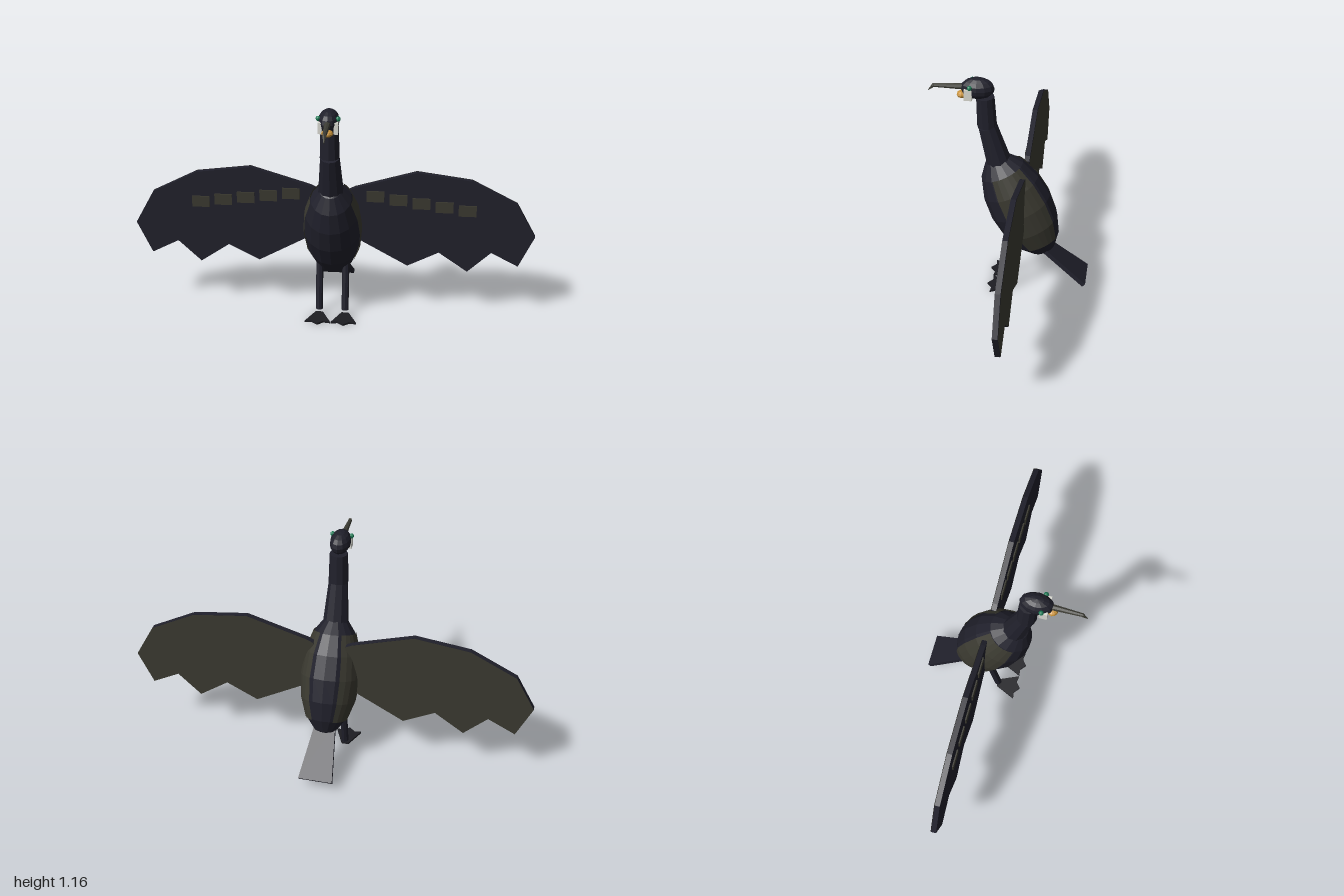
import * as THREE from 'three';

const mat = (name, color, side = THREE.FrontSide) => {
  const m = new THREE.MeshStandardMaterial({ color, flatShading: true, side });
  m.name = name;
  return m;
};

export function createModel() {
  const bird = new THREE.Group();
  bird.name = 'bird';
  const plumage = mat('dark plumage', 0x20202b);
  const olive = mat('olive feathers', 0x3a3930, THREE.DoubleSide);
  const horn = mat('beak horn', 0x3d3d35);
  const amber = mat('amber throat', 0xc8923a);
  const white = mat('white cheek', 0xdcdcd4);
  const green = mat('green eye', 0x1c7a55);
  const skin = mat('dark foot skin', 0x1d1d22);

  const add = (name, geometry, material, x = 0, y = 0, z = 0) => {
    const m = new THREE.Mesh(geometry, material);
    m.name = name;
    m.position.set(x, y, z);
    bird.add(m);
    return m;
  };
  const ellipsoid = (name, material, pos, size, w = 12, h = 8) => {
    const m = add(name, new THREE.SphereGeometry(1, w, h), material, ...pos);
    m.scale.set(...size);
    return m;
  };
  // Tapered cylinder running between two points
  const limb = (name, material, from, to, r0, r1, sides = 10) => {
    const a = new THREE.Vector3(...from), b = new THREE.Vector3(...to);
    const dir = b.clone().sub(a);
    const m = add(name, new THREE.CylinderGeometry(r1, r0, dir.length(), sides), material);
    m.position.copy(a).add(b).multiplyScalar(0.5);
    m.quaternion.setFromUnitVectors(new THREE.Vector3(0, 1, 0), dir.normalize());
    return m;
  };
  const outline = (pts, s = 1) => new THREE.Shape(pts.map(([x, y]) => new THREE.Vector2(x * s, y)));
  const slab = (shape, depth) => new THREE.ExtrudeGeometry(shape, { depth, bevelEnabled: false });

  // Leaning body
  const lean = THREE.MathUtils.degToRad(25);
  const bodyPos = [0, 0.47, -0.05];
  ellipsoid('body', plumage, bodyPos, [0.142, 0.305, 0.16], 16, 8).rotation.x = lean;

  // Neck and head
  limb('lowerNeck', plumage, [0, 0.71, 0.056], [0, 0.907, 0.11], 0.063, 0.047);
  limb('upperNeck', plumage, [0, 0.91, 0.113], [0, 1.065, 0.12], 0.048, 0.044);
  ellipsoid('head', plumage, [0, 1.108, 0.156], [0.05, 0.053, 0.081]);
  limb('beak', horn, [0, 1.112, 0.215], [0, 1.108, 0.37], 0.016, 0.009, 8);
  limb('beakHook', horn, [0, 1.111, 0.362], [0, 1.082, 0.39], 0.01, 0.002, 6);
  ellipsoid('throatPouch', amber, [0, 1.071, 0.231], [0.028, 0.018, 0.025], 10, 6);

  // Tail: flat fan sloping down and back
  const tail = add('tail', slab(outline([[-0.05, 0], [0.05, 0], [0.085, 0.295], [-0.085, 0.295]]), 0.022),
    plumage, 0, 0.246, -0.157);
  tail.geometry.translate(0, 0, -0.011);
  tail.rotation.x = Math.atan2(-0.228, -0.188);

  const wingPts = [[0.08, 0.67], [0.11, 0.685], [0.41, 0.775], [0.68, 0.74], [0.905, 0.625], [1, 0.455],
    [0.925, 0.29], [0.79, 0.36], [0.675, 0.25], [0.53, 0.35], [0.375, 0.27], [0.14, 0.4], [0.08, 0.42]];
  // Webbed foot seen from below: x across, y towards the toes
  const footPts = [[-0.018, -0.012], [0.018, -0.012], [0.064, 0.09], [0.03, 0.085], [0, 0.11],
    [-0.03, 0.085], [-0.064, 0.09]];

  for (const s of [1, -1]) {
    const side = s > 0 ? 'left' : 'right';

    // Spread wing with olive rear face and covert patches in front
    const wing = outline(wingPts, s);
    add(side + 'Wing', slab(wing, 0.025), plumage, 0, 0, -0.082);
    add(side + 'WingBack', new THREE.ShapeGeometry(wing), olive, 0, 0, -0.084);
    for (let i = 0; i < 5; i++) {
      add(side + 'Covert' + (i + 1), new THREE.BoxGeometry(0.088, 0.057, 0.009), olive,
        s * (0.209 + i * 0.1135), 0.643 - i * 0.015, -0.055);
    }

    // Olive panel wrapped around the flank
    const start = THREE.MathUtils.degToRad(s > 0 ? 162 : -60);
    const flank = add(side + 'Flank', new THREE.SphereGeometry(1, 6, 4, start,
      THREE.MathUtils.degToRad(78), Math.PI / 4, Math.PI / 2), olive, ...bodyPos);
    flank.scale.set(0.147, 0.309, 0.165);
    flank.rotation.x = lean;

    // Cheek and eye
    add(side + 'Cheek', new THREE.BoxGeometry(0.02, 0.055, 0.038), white, s * 0.037, 1.088, 0.196);
    ellipsoid(side + 'Eye', green, [s * 0.046, 1.127, 0.187], [0.012, 0.012, 0.012], 8, 6);

    // Leg and foot
    limb(side + 'Leg', plumage, [s * 0.066, 0.28, -0.054], [s * 0.066, 0.028, -0.009], 0.018, 0.018, 8);
    const foot = add(side + 'Foot', slab(outline(footPts), 0.01), skin, s * 0.066, 0.01, 0);
    foot.rotation.x = Math.PI / 2;
  }
  return bird;
}
